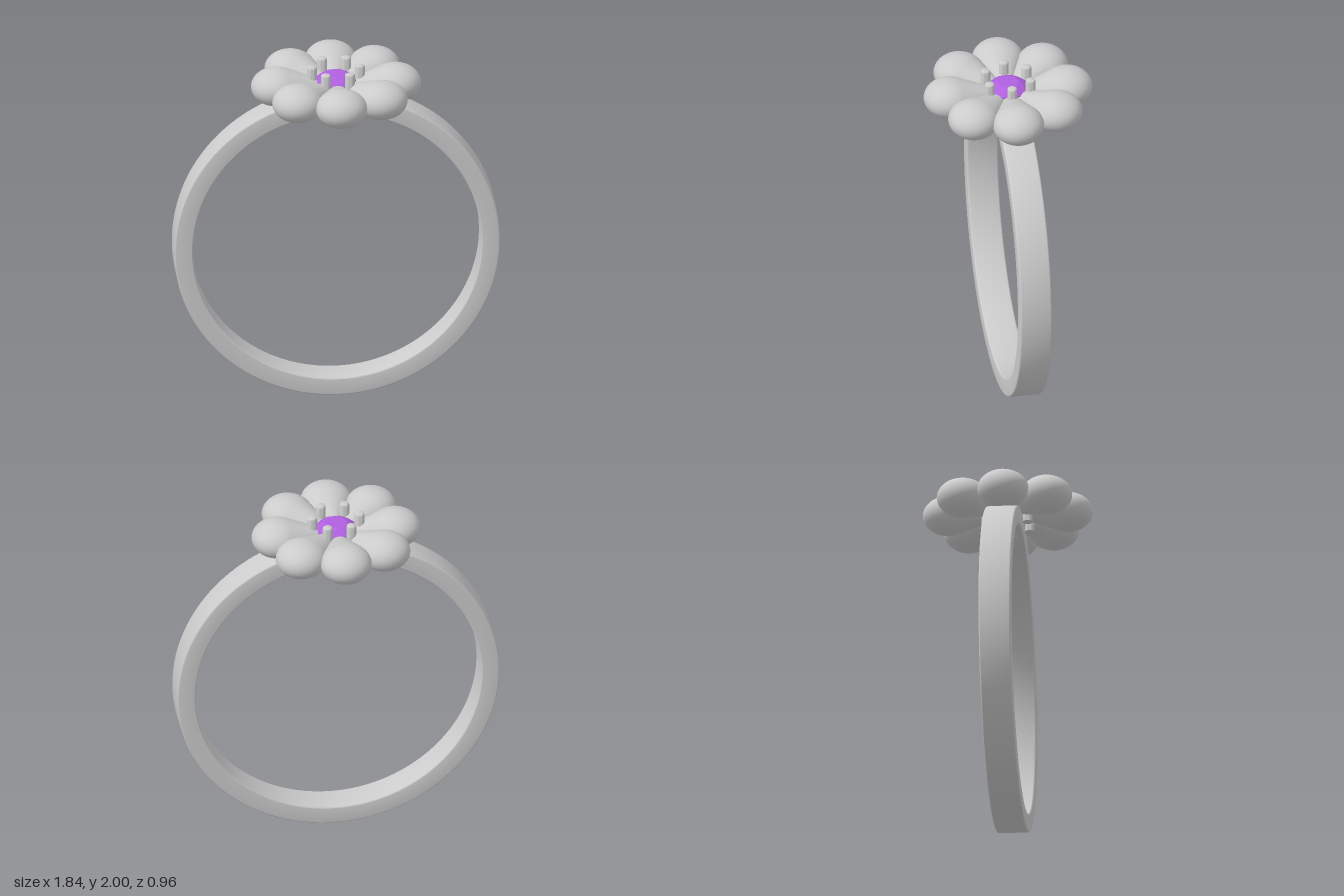
import * as THREE from 'three';
import { toCreasedNormals } from 'three/addons/utils/BufferGeometryUtils.js';
import { ConvexGeometry } from 'three/addons/geometries/ConvexGeometry.js';

const metal = new THREE.MeshStandardMaterial({ color: 0xcccccc });
const purple = new THREE.MeshStandardMaterial({ color: 0xb060e0, flatShading: true });
const v2 = (x, y) => new THREE.Vector2(x, y);

function part(parent, name, geometry, material = metal) {
  const mesh = new THREE.Mesh(geometry, material);
  mesh.name = name;
  parent.add(mesh);
  return mesh;
}

// Flat band with small rounded edges, turned about its own axis
function bandGeometry(inner, outer, half, bevel) {
  const profile = [];
  const corners = [[outer, -1, -90], [outer, 1, 0], [inner, 1, 90], [inner, -1, 180]];
  for (const [r, side, start] of corners) {
    const cx = r === outer ? r - bevel : r + bevel;
    const cy = side * (half - bevel);
    for (let i = 0; i <= 4; i++) {
      const a = THREE.MathUtils.degToRad(start + i * 22.5);
      profile.push(v2(cx + bevel * Math.cos(a), cy + bevel * Math.sin(a)));
    }
  }
  profile.push(profile[0].clone());
  return toCreasedNormals(new THREE.LatheGeometry(profile, 144), 0.3).rotateX(Math.PI / 2);
}

// Teardrop: a cone running smoothly into a round end, flattened in height
function petalGeometry() {
  const centre = 0.335, r = 0.145;
  const tilt = Math.asin(r / centre);
  const points = [v2(0, 0)];
  const tangent = centre * Math.cos(tilt);
  for (let i = 1; i < 8; i++) {
    const d = (tangent * i) / 8;
    points.push(v2(d * Math.sin(tilt), d * Math.cos(tilt)));
  }
  for (let i = 0; i <= 20; i++) {
    const a = -tilt + (Math.PI / 2 + tilt) * (i / 20);
    points.push(v2(Math.max(0, r * Math.cos(a)), centre + r * Math.sin(a)));
  }
  return new THREE.LatheGeometry(points, 40).rotateX(Math.PI / 2).scale(1, 0.73, 1);
}

// Brilliant cut: table, staggered crown, girdle and pointed pavilion
function gemGeometry() {
  const points = [new THREE.Vector3(0, -0.11, 0)];
  const ring = (n, r, y, offset) => {
    for (let i = 0; i < n; i++) {
      const a = ((i + offset) / n) * Math.PI * 2;
      points.push(new THREE.Vector3(r * Math.cos(a), y, r * Math.sin(a)));
    }
  };
  ring(8, 0.062, 0.036, 0);
  ring(8, 0.092, 0.022, 0.5);
  ring(16, 0.115, 0.003, 0);
  ring(16, 0.115, -0.003, 0);
  return new ConvexGeometry(points);
}

export function createModel() {
  const model = new THREE.Group();
  model.name = 'flowerRing';

  part(model, 'band', bandGeometry(0.814, 0.92, 0.09, 0.012)).position.y = 0.922;

  // Eight petals around the stone
  const flower = new THREE.Group();
  flower.name = 'flower';
  flower.position.y = 1.885;
  model.add(flower);
  const petal = petalGeometry();
  for (let i = 0; i < 8; i++) part(flower, 'petal', petal).rotation.y = (i * Math.PI) / 4;

  // Seat post, its foot just showing inside the band
  part(model, 'seatPost', new THREE.CylinderGeometry(0.05, 0.05, 0.11, 32)).position.y = 1.787;

  part(model, 'gem', gemGeometry(), purple).position.y = 1.915;

  // Six prongs with softened tips
  const prong = toCreasedNormals(new THREE.LatheGeometry([
    v2(0, 0), v2(0.028, 0), v2(0.028, 0.188), v2(0.025, 0.196), v2(0.018, 0.2), v2(0, 0.2),
  ], 20), 0.7);
  for (let i = 0; i < 6; i++) {
    const a = (i * Math.PI) / 3;
    part(model, 'prong', prong).position.set(0.135 * Math.cos(a), 1.8, 0.135 * Math.sin(a));
  }
  return model;
}
